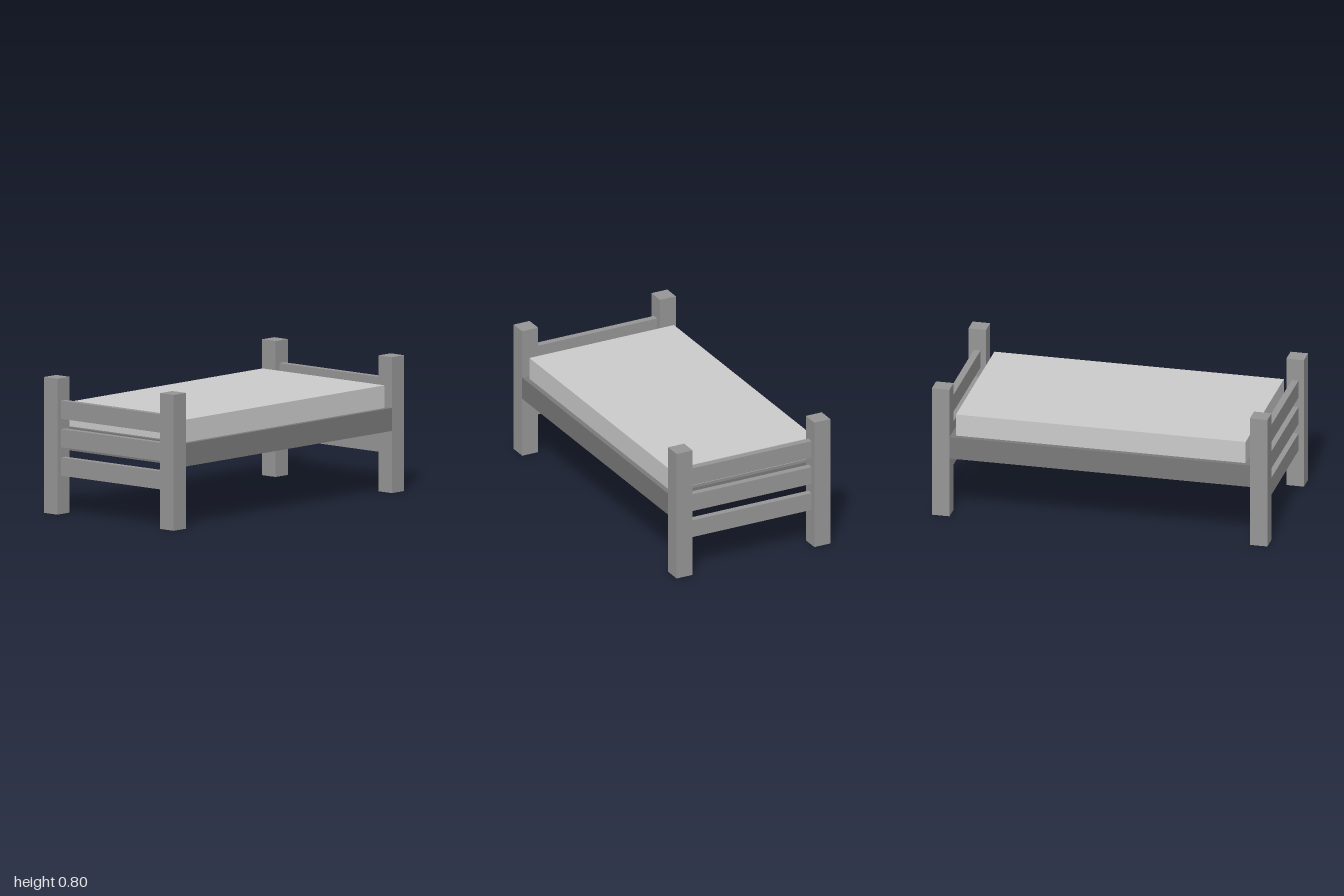
import * as THREE from 'three';

const frameMaterial = new THREE.MeshStandardMaterial({ color: 0x969696 });
const baseMaterial = new THREE.MeshStandardMaterial({ color: 0x7a7a7a });
const mattressMaterial = new THREE.MeshStandardMaterial({ color: 0xcccccc });

// Box given by its size, centre x and z, and the height of its underside
function box(name, [w, h, d], [x, bottom, z], material) {
  const mesh = new THREE.Mesh(new THREE.BoxGeometry(w, h, d), material);
  mesh.name = name;
  mesh.position.set(x, bottom + h / 2, z);
  return mesh;
}

export function createModel() {
  const bed = new THREE.Group();
  bed.name = 'bed';

  // Solid base between the posts, with the mattress on top
  bed.add(box('base', [1.79, 0.135, 1.01], [0, 0.365, 0], baseMaterial));
  bed.add(box('mattress', [1.726, 0.133, 0.95], [0, 0.5, 0], mattressMaterial));

  // Head and foot ends: two square posts joined by three rails
  for (const side of [-1, 1]) {
    const end = new THREE.Group();
    end.name = side < 0 ? 'rightEnd' : 'leftEnd';
    const x = side * 0.9475;
    for (const z of [-0.4525, 0.4525]) {
      end.add(box(z > 0 ? 'frontPost' : 'backPost', [0.105, 0.797, 0.105], [x, 0, z], frameMaterial));
    }
    ['lowerRail', 'middleRail', 'upperRail'].forEach((name, i) => {
      end.add(box(name, [0.04, 0.107, 0.8], [x, 0.225 + i * 0.1665, 0], frameMaterial));
    });
    bed.add(end);
  }
  return bed;
}
